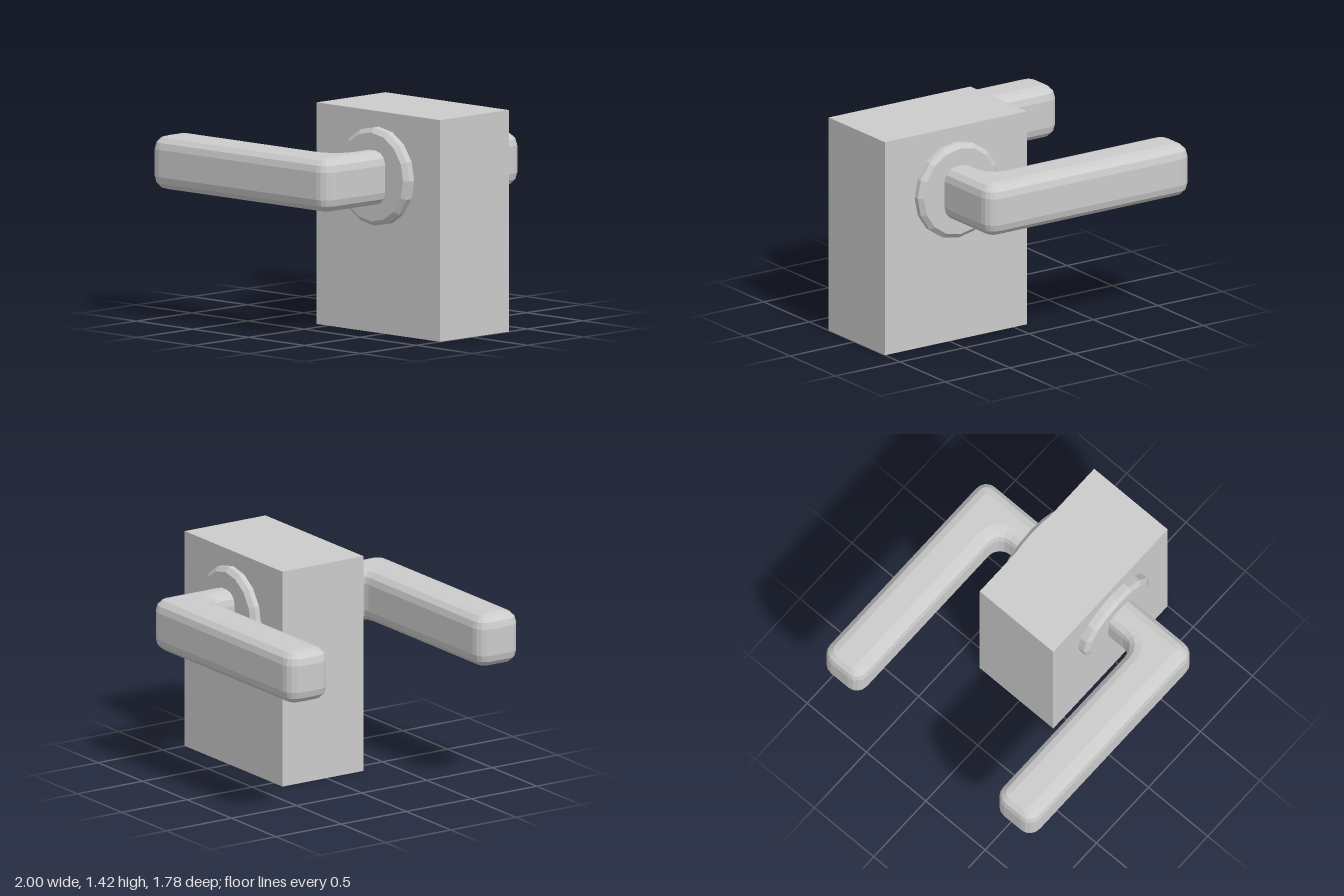
import * as THREE from 'three';

export function createModel() {
  const group = new THREE.Group();
  const mat = new THREE.MeshStandardMaterial({ color: 0xcccccc, flatShading: true });
  const add = (name, geometry, x, y, z) => {
    const mesh = new THREE.Mesh(geometry, mat);
    mesh.name = name;
    mesh.position.set(x, y, z);
    group.add(mesh);
  };

  // Section of door between the two handles
  const front = 0.285, back = -0.335, pivotX = 0.455, pivotY = 1.007;
  add('doorBlock', new THREE.BoxGeometry(1.1, 1.42, front - back), 0.45, 0.71, (front + back) / 2);

  // Round plate with a chamfered rim
  const rose = (height, side) => {
    const profile = [[0.315, 0], [0.315, height - 0.025], [0.285, height], [0, height]]
      .map(([r, y]) => new THREE.Vector2(r, y));
    return new THREE.LatheGeometry(profile, 16).rotateX(side * Math.PI / 2);
  };

  // L-shaped lever: plan outline (x, distance from door centre), extruded upright
  const lever = (side) => {
    const r = 0.09, bevel = 0.085, height = 0.345, depth = height - 2 * bevel;
    const x0 = -1, x1 = 0.35, x2 = 0.58, root = 0.1, inner = 0.57, outer = 0.888;
    const q = Math.PI / 2;
    const plan = new THREE.Shape();
    plan.moveTo(x1, root);
    plan.lineTo(x2, root);
    plan.absarc(x2 - r, outer - r, r, 0, q, false);
    plan.absarc(x0 + r, outer - r, r, q, 2 * q, false);
    plan.absarc(x0 + r, inner + r, r, 2 * q, 3 * q, false);
    plan.absarc(x1 - r, inner - r, r, q, 0, true);
    plan.closePath();
    return new THREE.ExtrudeGeometry(plan, {
      depth, curveSegments: 2, bevelEnabled: true, bevelSegments: 3,
      bevelThickness: bevel, bevelSize: bevel, bevelOffset: -bevel,
    }).translate(0, 0, -depth / 2).rotateX(side * q);
  };

  for (const side of [1, -1]) {
    const label = side > 0 ? 'front' : 'back';
    add(label + 'Rose', rose(side > 0 ? 0.07 : 0.06, side), pivotX, pivotY, side > 0 ? front : back);
    add(label + 'Lever', lever(side), 0, pivotY, 0);
  }
  return group;
}
